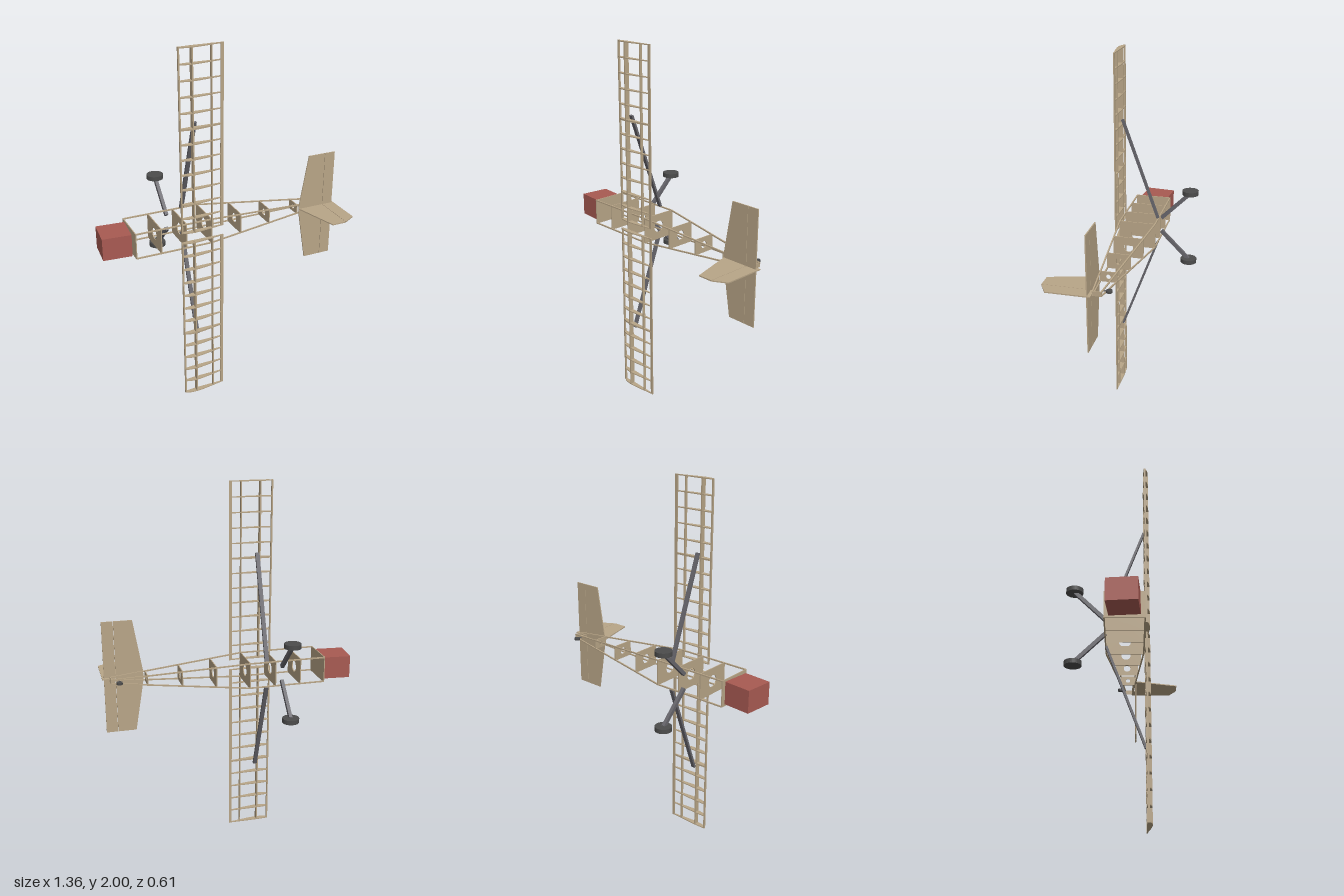
import * as THREE from 'three';

const paint = (color) => new THREE.MeshStandardMaterial({ color, flatShading: true });
const V = (x, y, z) => new THREE.Vector3(x, y, z);

export function createModel() {
  const model = new THREE.Group();
  const wood = paint(0xb8a587), metal = paint(0x66656b), rubber = paint(0x4c4c4c), red = paint(0xa85a52);
  const MID = 1; // the span runs along y, the nose points to -x, the top to +z

  const add = (name, geometry, material, parent = model) => {
    const mesh = new THREE.Mesh(geometry, material);
    mesh.name = name;
    parent.add(mesh);
    return mesh;
  };
  const box = (name, size, pos, material, parent) => {
    const mesh = add(name, new THREE.BoxGeometry(...size), material, parent);
    mesh.position.set(...pos);
    return mesh;
  };
  // Rectangular bar from a to b; "h" is measured along the up axis
  const beam = (name, a, b, w, h, up, material, parent) => {
    const mesh = add(name, new THREE.BoxGeometry(w, h, a.distanceTo(b)), material, parent);
    mesh.position.copy(a).add(b).multiplyScalar(0.5);
    mesh.up.copy(up);
    mesh.lookAt(b);
    return mesh;
  };
  const outline = (points) => new THREE.Shape(points.map(([x, y]) => new THREE.Vector2(x, y)));
  const sheet = (shape, depth) =>
    new THREE.ExtrudeGeometry(shape, { depth, bevelEnabled: false, curveSegments: 12 }).translate(0, 0, -depth / 2);

  // Fuselage half width, bottom and top at a station x
  const KINK = -0.093, TAIL = 0.638;
  const section = (x) => {
    const t = Math.max(0, (x - KINK) / (TAIL - KINK));
    return { w: 0.072 - 0.06 * t, lo: -0.106 + 0.1 * t, hi: 0.098 - 0.057 * t };
  };

  // Fuselage: formers with lightening holes
  const fuselage = new THREE.Group();
  fuselage.name = 'fuselage';
  model.add(fuselage);
  [-0.513, -0.376, -0.236, KINK, 0.085, 0.265, 0.447, 0.634].forEach((x, i) => {
    const { w, lo, hi } = section(x);
    const shape = outline([[lo, -w], [hi, -w], [hi, w], [lo, w]]);
    if (i > 0 && i < 7) {
      const hole = new THREE.Path();
      hole.absarc((lo + hi) / 2, 0, w * 0.45, 0, Math.PI * 2, true);
      shape.holes.push(hole);
    }
    const former = add(i ? 'former' : 'firewall', sheet(shape, 0.005).rotateY(-Math.PI / 2), wood, fuselage);
    former.position.set(x, MID, 0);
  });

  // Four longerons, straight along the cabin and tapering to the tail
  for (const side of [-1, 1]) {
    for (const edge of ['lo', 'hi']) {
      const at = (x) => {
        const s = section(x);
        return V(x, MID + side * (s.w - 0.003), s[edge] + (edge === 'lo' ? 0.003 : -0.003));
      };
      beam('cabinLongeron', at(-0.515), at(KINK), 0.007, 0.007, V(0, 1, 0), wood, fuselage);
      beam('tailLongeron', at(KINK), at(TAIL), 0.007, 0.007, V(0, 1, 0), wood, fuselage);
    }
  }

  // Engine block, tilted slightly downwards
  const engine = box('engineBlock', [0.153, 0.122, 0.157], [-0.597, MID, -0.011], red);
  engine.rotation.y = -0.09;

  // Wing rib profile: flat underside, curved top
  const rib = new THREE.Shape();
  rib.moveTo(-0.268, 0.108);
  rib.splineThru([[-0.258, 0.117], [-0.235, 0.124], [-0.195, 0.127], [-0.14, 0.122], [-0.085, 0.114], [-0.03, 0.106]]
    .map(([x, z]) => new THREE.Vector2(x, z)));
  rib.lineTo(-0.03, 0.102);
  rib.lineTo(-0.2, 0.099);
  rib.lineTo(-0.258, 0.102);
  rib.closePath();
  const ribGeometry = sheet(rib, 0.005).rotateX(Math.PI / 2);
  const strutRibGeometry = sheet(rib, 0.009).rotateX(Math.PI / 2);

  for (const side of [-1, 1]) {
    // Wing panel
    const wing = new THREE.Group();
    wing.name = side > 0 ? 'upperWingPanel' : 'lowerWingPanel';
    model.add(wing);
    const root = 0.027, tip = 1, bays = 12;
    for (let i = 0; i <= bays; i++) {
      const y = THREE.MathUtils.lerp(tip - 0.003, root + 0.003, i / bays);
      add('rib', i === 5 ? strutRibGeometry : ribGeometry, wood, wing).position.y = MID + side * y;
    }
    const spar = (name, x, z0, z1, thick) =>
      box(name, [thick, tip - root, z1 - z0], [x, MID + side * (tip + root) / 2, (z0 + z1) / 2], wood, wing);
    spar('leadingEdge', -0.265, 0.103, 0.113, 0.008);
    spar('mainSpar', -0.201, 0.1, 0.127, 0.007);
    spar('rearSpar', -0.096, 0.101, 0.116, 0.006);
    spar('trailingEdge', -0.038, 0.101, 0.107, 0.016);

    // Wing strut
    beam('wingStrut', V(-0.185, MID + side * 0.073, -0.1), V(-0.185, MID + side * 0.62, 0.1),
      0.012, 0.022, V(1, 0, 0), metal);

    // Main landing gear
    const gear = new THREE.Group();
    gear.name = 'landingGear';
    model.add(gear);
    beam('gearLeg', V(-0.27, MID + side * 0.04, -0.104), V(-0.27, MID + side * 0.198, -0.262),
      0.02, 0.018, V(1, 0, 0), metal, gear);
    const wheel = add('wheel', new THREE.CylinderGeometry(0.045, 0.045, 0.024, 32), rubber, gear);
    wheel.position.set(-0.27, MID + side * 0.206, -0.265);
  }

  // Tail surfaces
  const plate = 0.006;
  const stabilizer = outline([[0.457, -0.025], [0.505, -0.31], [0.604, -0.31], [0.604, 0.31], [0.505, 0.31], [0.457, 0.025]]);
  add('stabilizer', sheet(stabilizer, plate), wood).position.set(0, MID, 0.058);
  box('elevator', [0.061, 0.62, plate], [0.6365, MID, 0.058], wood);
  const fin = outline([[0.457, 0.056], [0.605, 0.056], [0.605, 0.304], [0.526, 0.304]]);
  const rudder = outline([[0.607, 0.038], [0.677, 0.038], [0.677, 0.264], [0.607, 0.304]]);
  add('fin', sheet(fin, plate).rotateX(Math.PI / 2), wood).position.y = MID;
  add('rudder', sheet(rudder, plate).rotateX(Math.PI / 2), wood).position.y = MID;

  // Tail wheel with a short leg
  const tailWheel = add('tailWheel', new THREE.CylinderGeometry(0.016, 0.016, 0.012, 24), rubber);
  tailWheel.position.set(0.595, MID, -0.033);
  beam('tailWheelLeg', V(0.595, MID, -0.033), V(0.595, MID, 0), 0.005, 0.005, V(1, 0, 0), metal);

  return model;
}
